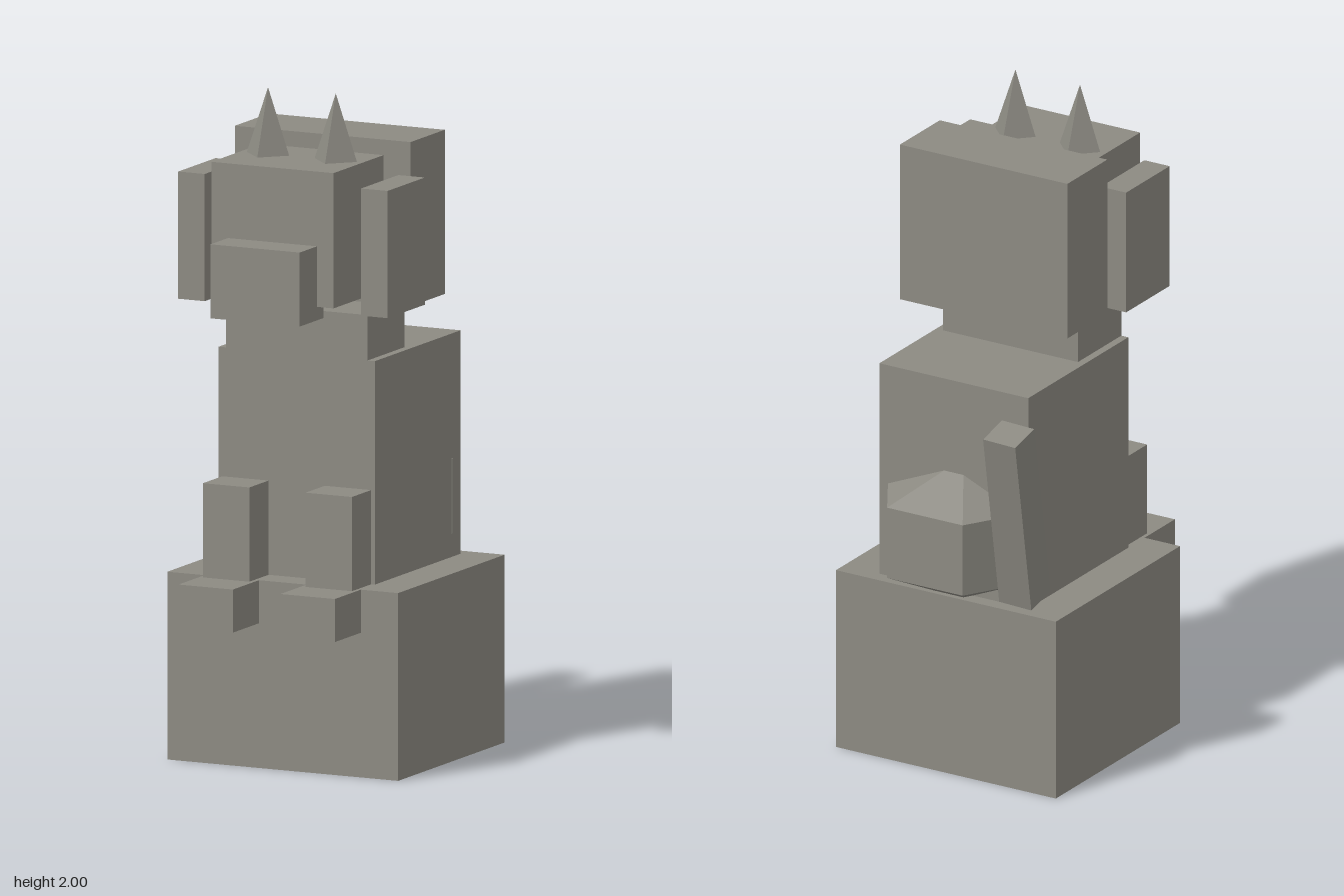
import * as THREE from 'three';

export function createModel() {
  const model = new THREE.Group();
  model.name = 'seatedBlockStatue';
  const stone = new THREE.MeshStandardMaterial({ color: 0x8c8a82 });
  stone.name = 'stone grey';

  const add = (name, geometry, x, y, z) => {
    const mesh = new THREE.Mesh(geometry, stone);
    mesh.name = name;
    mesh.position.set(x, y, z);
    model.add(mesh);
    return mesh;
  };

  // Box given by its extents along each axis
  const block = (name, [x0, x1], [y0, y1], [z0, z1]) =>
    add(name, new THREE.BoxGeometry(x1 - x0, y1 - y0, z1 - z0),
      (x0 + x1) / 2, (y0 + y1) / 2, (z0 + z1) / 2);

  // Pedestal, torso and neck
  block('pedestal', [-0.378, 0.378], [0, 0.558], [-0.344, 0.344]);
  block('torso', [-0.256, 0.256], [0.558, 1.222], [-0.3, 0.254]);
  block('neck', [-0.232, 0.232], [1.222, 1.357], [0.014, 0.254]);

  // Head, muzzle and the large block behind the head
  block('head', [-0.2, 0.2], [1.4, 1.802], [0.087, 0.41]);
  block('muzzle', [-0.146, 0.146], [1.36, 1.58], [0.37, 0.522]);
  block('backOfHead', [-0.288, 0.288], [1.36, 1.848], [-0.135, 0.086]);

  // Mirrored parts
  for (const [side, s] of [['left', 1], ['right', -1]]) {
    const span = (a, b) => (s > 0 ? [a, b] : [-b, -a]);
    block(side + 'SidePanel', span(0.256, 0.343), [1.372, 1.75], [0.102, 0.343]);
    block(side + 'Leg', span(0.092, 0.244), [0.558, 0.838], [0.25, 0.378]);
    block(side + 'Foot', span(0.078, 0.256), [0.43, 0.558], [0.34, 0.512]);
    // Four-sided spike with its corners on the axes
    const spike = new THREE.ConeGeometry(0.07, 0.2, 4).toNonIndexed();
    spike.computeVertexNormals();
    add(side + 'Horn', spike, s * 0.111, 1.9, 0.22);
  }

  // Faceted rump, six sides around and three bands high
  const rump = new THREE.SphereGeometry(1, 6, 3).scale(0.3, 0.222, 0.287).toNonIndexed();
  rump.computeVertexNormals();
  add('rump', rump, 0, 0.738, -0.245);

  // Leaning tail post
  const tail = add('tail', new THREE.BoxGeometry(0.11, 0.575, 0.108), -0.279, 0.892, -0.401);
  tail.rotation.set(-0.22, 0, 0.039);

  return model;
}
